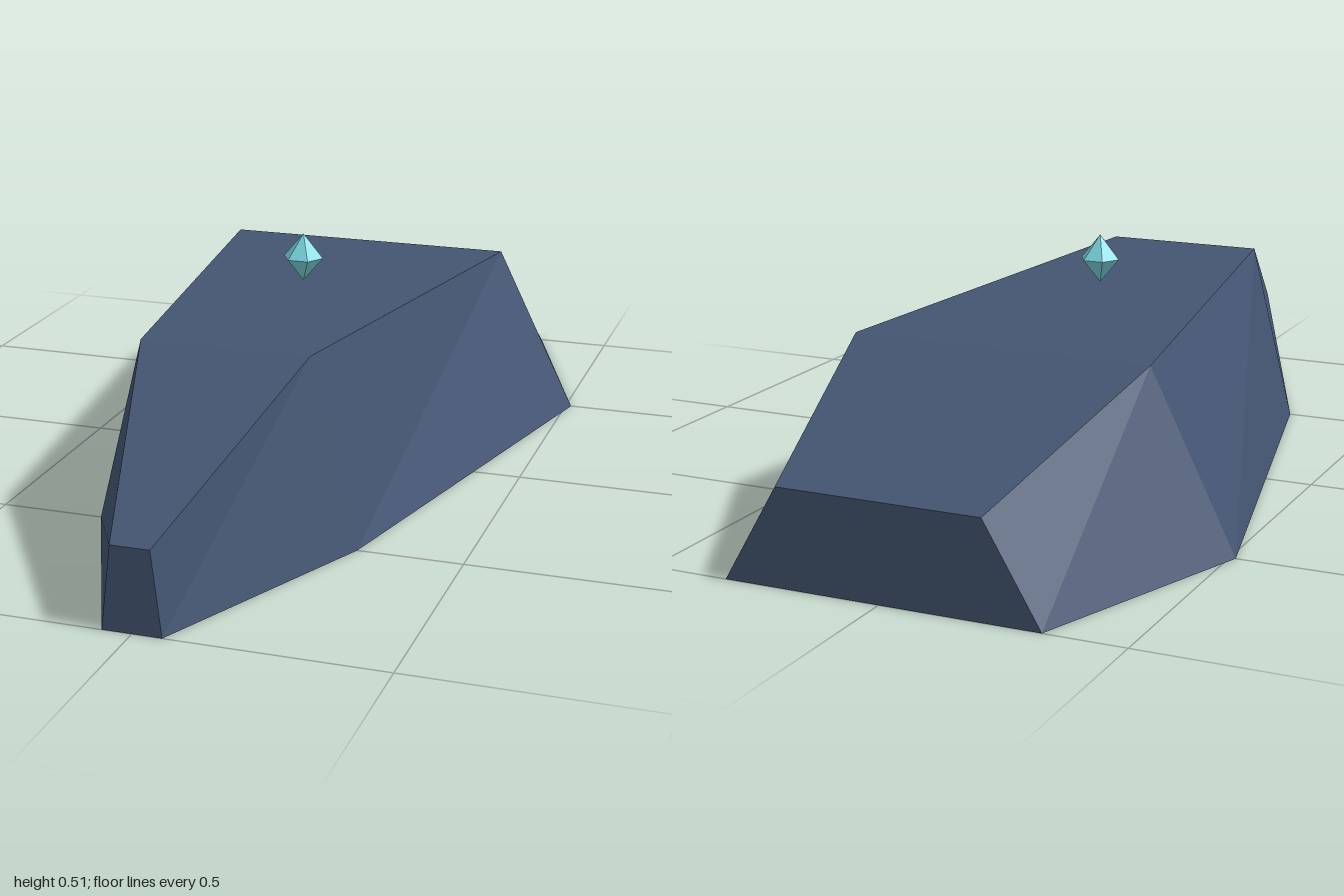
import * as THREE from 'three';

// Faceted surface through four-cornered stations [z, bottom half width, top half width, height]
function loftHull(stations) {
  const rings = stations.map(([z, b, t, h]) => [[b, 0, z], [t, h, z], [-t, h, z], [-b, 0, z]]);
  const positions = [];
  const quad = (a, b, c, d) => positions.push(...a, ...b, ...c, ...a, ...c, ...d);
  for (let i = 0; i < rings.length - 1; i++) {
    const front = rings[i], back = rings[i + 1];
    for (let j = 0; j < 4; j++) {
      const k = (j + 1) % 4;
      quad(front[j], back[j], back[k], front[k]);
    }
  }
  quad(...rings[0]);
  quad(...rings[rings.length - 1].slice().reverse());
  const geometry = new THREE.BufferGeometry();
  geometry.setAttribute('position', new THREE.Float32BufferAttribute(positions, 3));
  geometry.computeVertexNormals();
  return geometry;
}

export function createModel() {
  const model = new THREE.Group();
  model.name = 'hullWithCrystal';

  const slateBlue = new THREE.MeshStandardMaterial({ color: 0x445572, flatShading: true });
  slateBlue.name = 'slateBlue';
  const paleCyan = new THREE.MeshStandardMaterial({ color: 0x7ad5de, flatShading: true });
  paleCyan.name = 'paleCyan';

  // Hull, from the narrow nose to the blunt stern
  const hull = new THREE.Mesh(loftHull([
    [1, 0.06, 0.04, 0.172],
    [0.5, 0.28, 0.18, 0.4],
    [-0.5, 0.513, 0.33, 0.37],
    [-1, 0.333, 0.215, 0.2],
  ]), slateBlue);
  hull.name = 'hull';
  model.add(hull);

  // Six-sided crystal floating above the deck
  const profile = [[0, -0.053], [0.045, 0], [0, 0.053]].map(([r, y]) => new THREE.Vector2(r, y));
  const crystalGeometry = new THREE.LatheGeometry(profile, 6).rotateY(Math.PI / 6).toNonIndexed();
  crystalGeometry.computeVertexNormals();
  const crystal = new THREE.Mesh(crystalGeometry, paleCyan);
  crystal.name = 'crystal';
  crystal.position.y = 0.458;
  model.add(crystal);

  return model;
}
